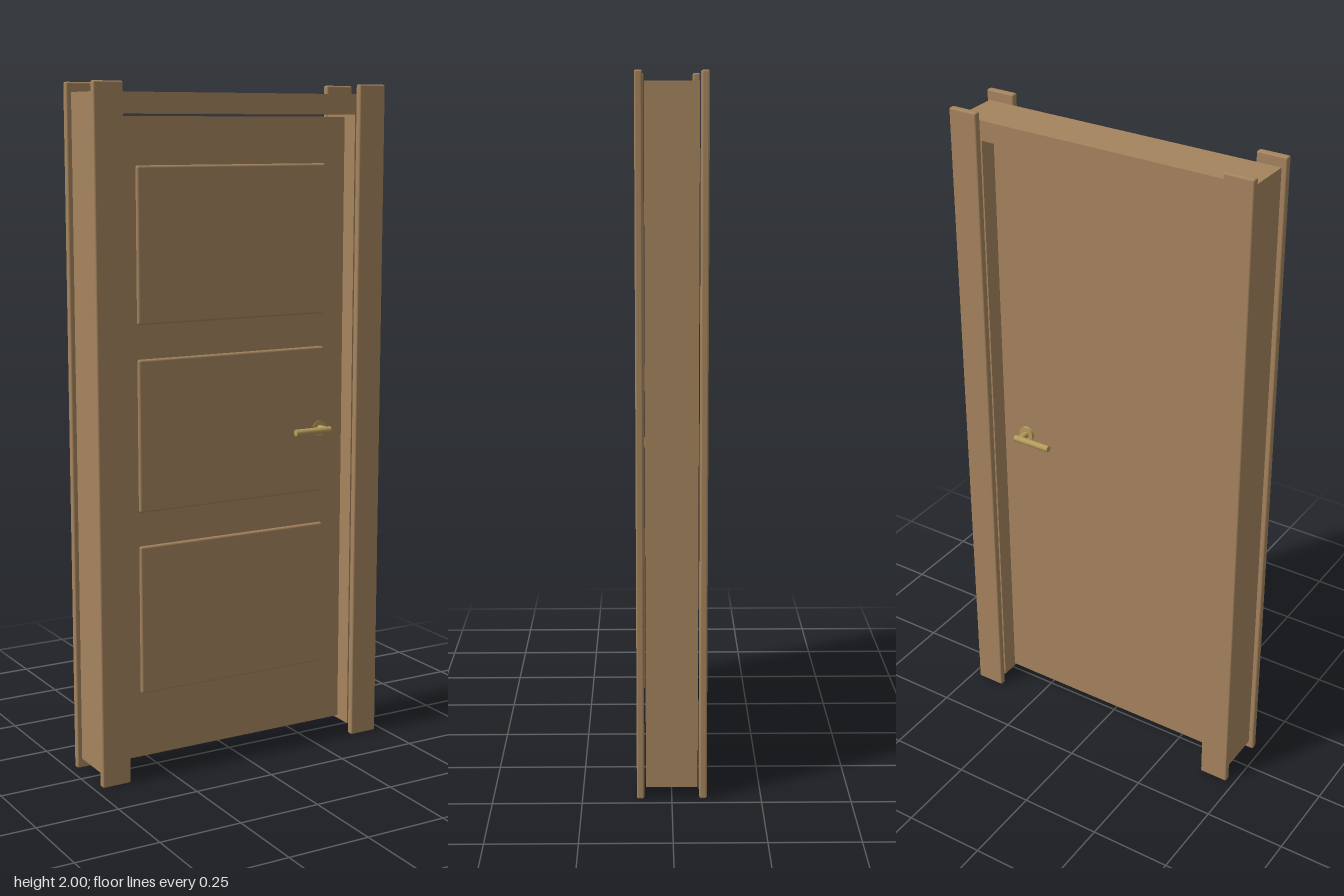
import * as THREE from 'three';
import { RoundedBoxGeometry } from 'three/addons/geometries/RoundedBoxGeometry.js';

export function createModel() {
  const model = new THREE.Group();
  model.name = 'door';
  const wood = new THREE.MeshStandardMaterial({ color: 0xa5845e });
  wood.name = 'wood';
  const brass = new THREE.MeshStandardMaterial({ color: 0xb59b5c });
  brass.name = 'brass';

  function add(name, geometry, material, x, y, z, parent = model) {
    const mesh = new THREE.Mesh(geometry, material);
    mesh.name = name;
    mesh.position.set(x, y, z);
    parent.add(mesh);
    return mesh;
  }

  // Frame: two jambs and a head in one piece, open at the bottom
  const outer = 0.462, inner = 0.386, foot = 0.03, top = 1.972, headBottom = 1.914, depth = 0.145;
  const outline = new THREE.Shape([
    [-outer, foot], [-inner, foot], [-inner, headBottom], [inner, headBottom],
    [inner, foot], [outer, foot], [outer, top], [-outer, top],
  ].map(([x, y]) => new THREE.Vector2(x, y)));
  add('frame', new THREE.ExtrudeGeometry(outline, { depth, bevelEnabled: false }), wood, 0, 0, -depth / 2);

  // Side trims, front and back
  const trim = new RoundedBoxGeometry(0.09, 2, 0.021, 2, 0.005);
  for (const side of [-1, 1]) {
    for (const face of [-1, 1]) add('trim', trim, wood, side * 0.43, 1, face * 0.0875);
  }

  // Door leaf with three raised panels on the front
  const half = 0.022;
  add('leaf', new THREE.BoxGeometry(0.766, 1.866, half * 2), wood, 0, 0.974, 0);
  const panel = new RoundedBoxGeometry(0.626, 0.446, 0.024, 3, 0.007);
  for (const y of [0.458, 1.004, 1.549]) add('panel', panel, wood, 0, y, half - 0.004);

  // Hinges
  const hinge = new THREE.BoxGeometry(0.006, 0.075, 0.085);
  for (const y of [0.26, 1.0, 1.745]) add('hinge', hinge, brass, -0.384, y, 0);

  // Lever handles on both faces
  const rose = new THREE.CylinderGeometry(0.024, 0.024, 0.01, 24).rotateX(Math.PI / 2);
  const neck = new THREE.CylinderGeometry(0.01, 0.01, 0.042, 16).rotateX(Math.PI / 2);
  const lever = new THREE.CylinderGeometry(0.01, 0.01, 0.122, 16).rotateZ(Math.PI / 2);
  for (const face of [-1, 1]) {
    const handle = new THREE.Group();
    handle.name = 'handle';
    handle.position.set(0.299, 0.976, face * half);
    add('rose', rose, brass, 0, 0, face * 0.005, handle);
    add('neck', neck, brass, 0, 0, face * 0.021, handle);
    add('lever', lever, brass, -0.045, 0, face * 0.042, handle);
    model.add(handle);
  }
  return model;
}
